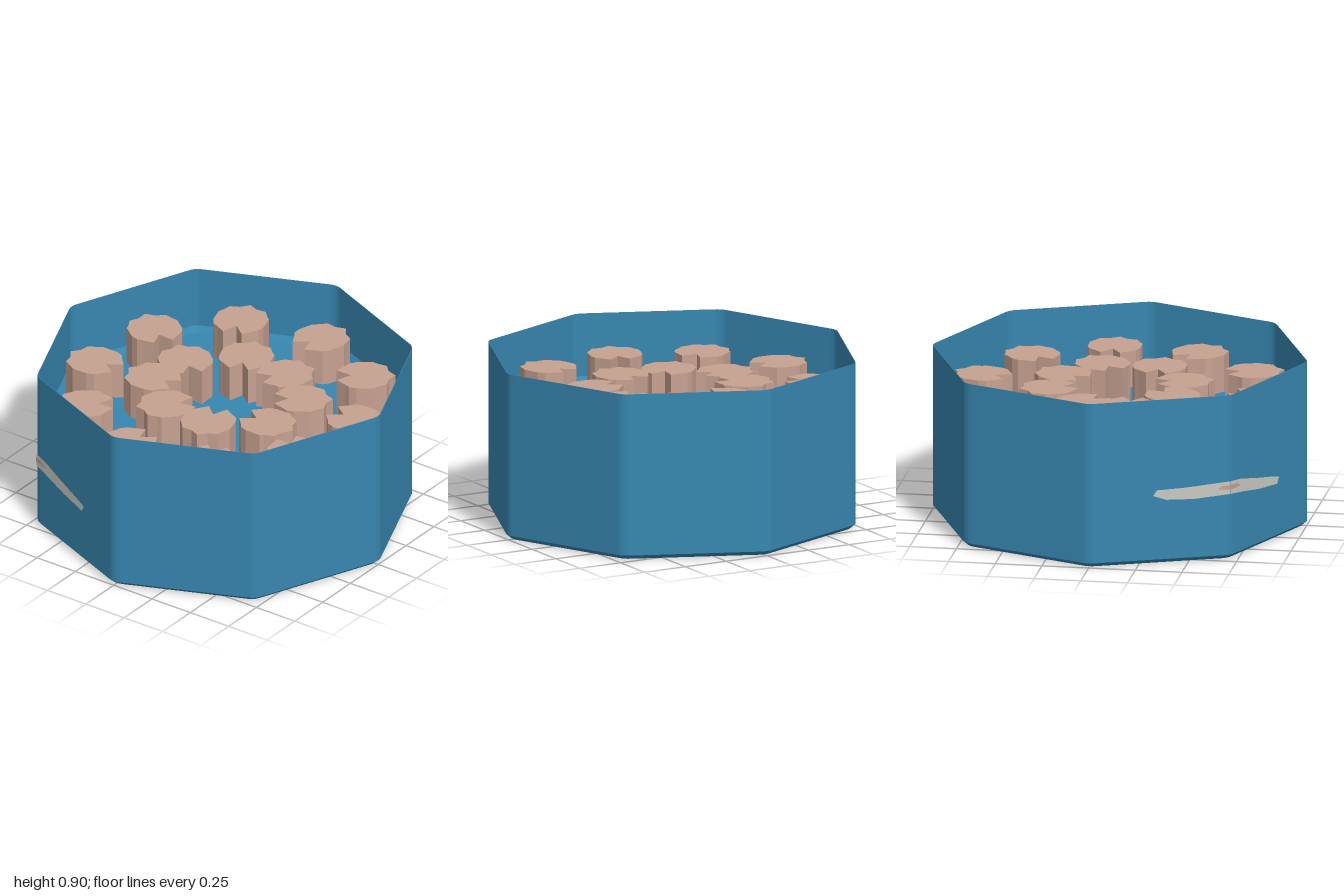
import * as THREE from 'three';

const FLOOR = 0.53, PAD_TOP = 0.73;
const rad = THREE.MathUtils.degToRad;

// Octagon outline with slightly rounded corners, as [x, z] pairs
function octagon() {
  const pts = [], steps = 4;
  for (let k = 0; k < 8; k++) {
    const a = k * Math.PI / 4;
    for (let i = 0; i <= steps; i++) {
      const b = a + rad(-22.5 + 45 * i / steps);
      pts.push([0.915 * Math.sin(a) + 0.085 * Math.sin(b), 0.915 * Math.cos(a) + 0.085 * Math.cos(b)]);
    }
  }
  return pts;
}

// Sweeps a [scale, height] profile around the outline, flat shaded
function sweep(profile) {
  const ring = octagon(), pos = [];
  const at = ([s, y], j) => { const p = ring[j % ring.length]; return [p[0] * s, y, p[1] * s]; };
  for (let i = 0; i < profile.length - 1; i++) {
    for (let j = 0; j < ring.length; j++) {
      const a = at(profile[i], j), b = at(profile[i], j + 1);
      const c = at(profile[i + 1], j + 1), d = at(profile[i + 1], j);
      if (profile[i][0] > 0) pos.push(...a, ...b, ...c);
      if (profile[i + 1][0] > 0) pos.push(...a, ...c, ...d);
    }
  }
  const g = new THREE.BufferGeometry();
  g.setAttribute('position', new THREE.Float32BufferAttribute(pos, 3));
  g.computeVertexNormals();
  return g;
}

const shapeOf = pts => new THREE.Shape(pts.map(p => new THREE.Vector2(p[0], p[1])));

// Notched pad with a pointed tip, mirrored about its axis
function padGeometry() {
  const half = [[0, 0.16], [0.045, 0.125], [0.1, 0.115], [0.125, 0.065], [0.14, 0.045],
    [0.14, -0.045], [0.125, -0.085], [0.1, -0.105], [0.052, -0.15], [0, -0.075]];
  const other = half.slice(1, -1).reverse().map(([x, y]) => [-x, y]);
  const g = new THREE.ExtrudeGeometry(shapeOf([...half, ...other]), { depth: PAD_TOP - FLOOR, bevelEnabled: false });
  g.rotateX(-Math.PI / 2);
  return g;
}

export function createModel() {
  const model = new THREE.Group();
  const mat = (name, color) => Object.assign(new THREE.MeshStandardMaterial({ color }), { name });
  const blue = mat('blue', 0x3787b0);
  const tan = mat('tan', 0xc7a291);
  const pale = mat('paleGrey', 0xc9cac3);
  const add = (name, geometry, material, parent = model) => {
    const m = new THREE.Mesh(geometry, material);
    m.name = name;
    parent.add(m);
    return m;
  };

  // Tub: bottom bevel, thin wall, raised floor with a bevelled edge
  add('tub', sweep([[0, 0.002], [0.972, 0.002], [1, 0.025], [1, 0.9], [0.997, 0.9],
    [0.997, FLOOR + 0.03], [0.972, FLOOR], [0, FLOOR]]), blue);

  // Pads: tip angle is measured from +x towards +z
  const pad = padGeometry();
  const addPad = (name, x, z, tip) => {
    const m = add(name, pad, tan);
    m.position.set(x, FLOOR, z);
    m.rotation.y = -rad(tip + 90);
  };
  for (let k = 0; k < 10; k++) {
    const a = rad(-101.5 + 36 * k);
    addPad('outerPad', 0.755 * Math.cos(a), 0.755 * Math.sin(a), -90 + 36 * k);
  }
  for (const [x, z, tip] of [[-0.11, -0.39, -90], [0.14, -0.36, -50], [0.36, -0.12, -20], [0.33, 0.16, 35],
    [0.16, 0.39, 55], [-0.15, 0.39, 90], [-0.325, 0.125, 165], [-0.31, -0.16, -135]]) {
    addPad('innerPad', x, z, tip);
  }

  // Scalloped spot under the base, cut off at the base edge
  const spot = (cx, cz, r, wave) => {
    const pts = [];
    for (let i = 0; i < 48; i++) {
      const a = i * Math.PI / 24, q = r * (1 + wave * Math.cos(12 * a));
      let x = cx + q * Math.cos(a), z = cz + q * Math.sin(a);
      const over = Math.max(0, -0.383 * x + 0.924 * z - 0.9);
      x += 0.383 * over;
      z -= 0.924 * over;
      pts.push([x, z]);
    }
    return new THREE.ShapeGeometry(shapeOf(pts)).rotateX(Math.PI / 2);
  };
  add('baseSpot', spot(-0.25, 0.79, 0.19, 0.03), pale).position.y = 0.001;
  add('baseSpotCentre', spot(-0.27, 0.8, 0.035, 0), tan);

  // Streak wrapped around the back corner, one thin face on each side
  const streak = (name, degrees, outline, centre) => {
    const g = new THREE.Group();
    g.name = name;
    const a = rad(degrees), c = -1.007 * Math.SQRT1_2;
    g.rotation.y = a;
    g.position.set(c + 0.002 * Math.sin(a), 0, c + 0.002 * Math.cos(a));
    add('streakBand', new THREE.ShapeGeometry(shapeOf(outline)), pale, g);
    add('streakCentre', new THREE.ShapeGeometry(shapeOf(centre)), tan, g).position.z = 0.002;
    model.add(g);
  };
  streak('streakLeftSide', 247.5,
    [[0, 0.36], [0.12, 0.345], [0.28, 0.32], [0.46, 0.305], [0.48, 0.34], [0.42, 0.355], [0.26, 0.385], [0.1, 0.42], [0, 0.43]],
    [[0, 0.385], [0.1, 0.385], [0.06, 0.405], [0, 0.41]]);
  streak('streakRightSide', 202.5,
    [[0, 0.36], [0, 0.43], [-0.12, 0.42], [-0.25, 0.41], [-0.4, 0.405], [-0.42, 0.375], [-0.35, 0.35], [-0.2, 0.345]],
    [[0, 0.385], [0, 0.41], [-0.05, 0.405], [-0.07, 0.39]]);

  return model;
}
